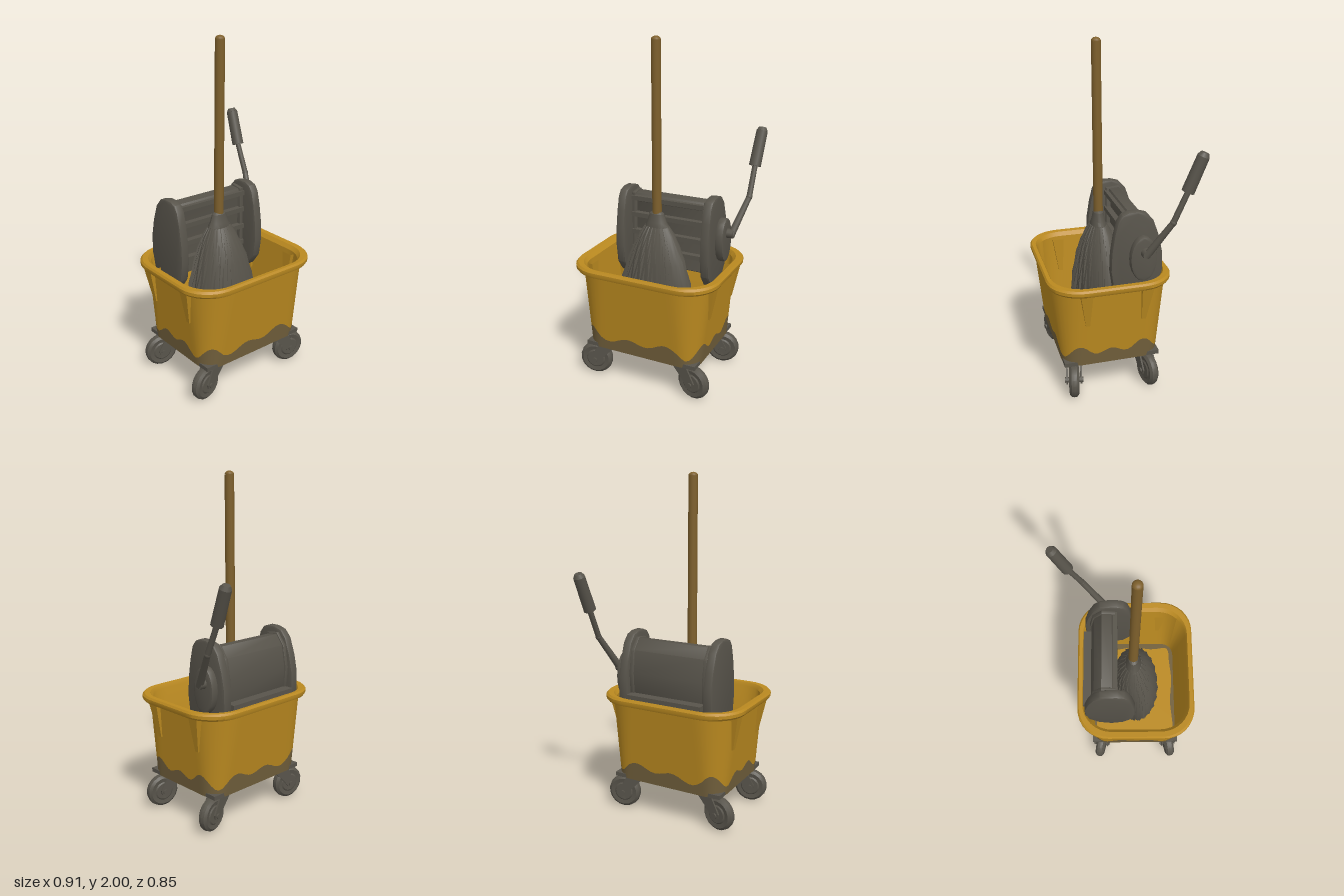
import * as THREE from 'three';
import { toCreasedNormals } from 'three/addons/utils/BufferGeometryUtils.js';

const mat = (name, color, side = THREE.FrontSide) => {
  const m = new THREE.MeshStandardMaterial({ color, side });
  m.name = name;
  return m;
};

// Centre of the bucket in plan
const CX = -0.015, CZ = 0.071;

// Skin a list of equal-length closed rings (rising rings face outward)
function loft(rings, crease = 0.6) {
  const n = rings[0].length, pos = [], idx = [];
  rings.forEach(r => r.forEach(p => pos.push(...p)));
  for (let j = 0; j < rings.length - 1; j++) {
    for (let i = 0; i < n; i++) {
      const a = j * n + i, b = j * n + (i + 1) % n;
      idx.push(a, a + n, b, b, a + n, b + n);
    }
  }
  const g = new THREE.BufferGeometry();
  g.setAttribute('position', new THREE.Float32BufferAttribute(pos, 3));
  g.setIndex(idx);
  g.computeVertexNormals();
  return toCreasedNormals(g, crease);
}

// Rounded rectangle ring with finely divided sides; y may vary round the ring
function rectRing(hx, hz, r, y) {
  const pts = [], corner = 8, side = 16;
  const centres = [[1, 1], [-1, 1], [-1, -1], [1, -1]];
  const arc = (q, k) => {
    const a = (q + k / corner) * Math.PI / 2;
    return [CX + centres[q][0] * (hx - r) + r * Math.cos(a), CZ + centres[q][1] * (hz - r) + r * Math.sin(a)];
  };
  for (let q = 0; q < 4; q++) {
    for (let k = 0; k <= corner; k++) pts.push(arc(q, k));
    const a = arc(q, corner), b = arc((q + 1) % 4, 0);
    for (let k = 1; k < side; k++) pts.push([a[0] + (b[0] - a[0]) * k / side, a[1] + (b[1] - a[1]) * k / side]);
  }
  return pts.map(([x, z], i) => [x, typeof y === 'function' ? y(i / pts.length) : y, z]);
}

// Extrude a [z, y] outline along x
function extrudeX(points, x0, depth, bevel = 0.012) {
  const shape = new THREE.Shape(points.map(([z, y]) => new THREE.Vector2(-z, y)));
  const g = new THREE.ExtrudeGeometry(shape, {
    depth: depth - 2 * bevel, bevelEnabled: bevel > 0, bevelThickness: bevel, bevelSize: bevel,
    bevelOffset: -bevel, bevelSegments: 2, curveSegments: 8,
  });
  g.rotateY(Math.PI / 2).translate(x0 + bevel, 0, 0);
  return toCreasedNormals(g, 0.6);
}

// Tapered round rod between two points
function rod(a, b, ra, rb, sides = 12) {
  const A = new THREE.Vector3(...a), B = new THREE.Vector3(...b), d = B.clone().sub(A);
  const g = new THREE.CylinderGeometry(rb, ra, d.length(), sides);
  g.applyQuaternion(new THREE.Quaternion().setFromUnitVectors(new THREE.Vector3(0, 1, 0), d.clone().normalize()));
  return g.translate(...A.add(B).multiplyScalar(0.5).toArray());
}

export function createModel() {
  const model = new THREE.Group();
  const yellow = mat('bucket yellow', 0xbb8a20);
  const grey = mat('dark grey plastic', 0x58544b);
  const dirt = mat('grime brown', 0x72603c);
  const wood = mat('handle wood', 0x7e602c);
  const add = (name, geo, material, parent = model) => {
    const m = new THREE.Mesh(geo, material);
    m.name = name;
    parent.add(m);
    return m;
  };

  // Bucket wall section at a height: half sizes and corner radius
  const wall = y => {
    const t = (typeof y === 'number' ? y - 0.21 : 0) / 0.48;
    return [0.352 + 0.043 * t, 0.284 + 0.056 * t, 0.1 + 0.08 * t];
  };
  const wave = u => {
    const a = u * Math.PI * 2;
    return 0.298 + 0.026 * Math.sin(a * 11 + 0.8) + 0.018 * Math.sin(a * 7 + 2);
  };
  const at = y => rectRing(...wall(y), y);
  // Ring that follows the wavy grime line on the sloping wall
  const low = at(0.21), high = at(0.69);
  const waveRing = low.map((p, i) => {
    const y = wave(i / low.length), t = (y - 0.21) / 0.48;
    return [p[0] + (high[i][0] - p[0]) * t, y, p[2] + (high[i][2] - p[2]) * t];
  });
  const flat = (p, y) => p.map(() => [CX, y, CZ]);

  // Bucket shell: outer wall, rolled rim, inner wall
  add('bucketShell', loft([
    waveRing, high,
    rectRing(0.436, 0.352, 0.19, 0.688), rectRing(0.444, 0.357, 0.19, 0.7),
    rectRing(0.444, 0.357, 0.19, 0.718), rectRing(0.436, 0.349, 0.19, 0.729),
    rectRing(0.405, 0.328, 0.18, 0.727), rectRing(0.385, 0.318, 0.17, 0.705),
    rectRing(0.34, 0.268, 0.08, 0.24),
  ]), yellow);
  add('grimeBand', loft([low, waveRing]), dirt);
  add('bucketUnderside', loft([flat(low, 0.21), low]), yellow);

  // Bucket floor with a wavy grime border
  const floorEdge = rectRing(0.34, 0.268, 0.08, 0.24);
  const floorWave = rectRing(0.308, 0.248, 0.06, 0.24).map(([x, y, z], i, l) => {
    const s = 1 + 0.025 * Math.sin(i / l.length * Math.PI * 18);
    return [CX + (x - CX) * s, y, CZ + (z - CZ) * s];
  });
  add('floorGrime', loft([floorEdge, floorWave]), dirt);
  add('bucketFloor', loft([floorWave, flat(low, 0.24)]), yellow);

  // Tapered ribs under the rim on both ends
  for (const s of [-1, 1]) {
    for (const z of [0.235, -0.115]) {
      const lean = z > CZ ? -0.012 : 0.012;
      const top = [[-0.04, 0.035], [0.035, 0.035], [0.035, -0.035], [-0.04, -0.035]]
        .map(([x, w]) => [CX + s * (0.39 + x), 0.695, z + s * w]);
      const foot = [[-0.03, 0.012], [0.006, 0.012], [0.006, -0.012], [-0.03, -0.012]]
        .map(([x, w]) => [CX + s * (0.378 + x), 0.48, z + lean + s * w]);
      add('rib', loft([foot, top].map(r => r.slice().reverse()), 0.3), yellow);
    }
  }

  // Casters, each trailing outward from its pivot
  const wheelProfile = [[0, -0.03], [0.05, -0.03], [0.058, -0.024], [0.082, -0.028], [0.097, -0.016],
    [0.1, 0], [0.097, 0.016], [0.082, 0.028], [0.058, 0.024], [0.05, 0.03], [0, 0.03]]
    .map(p => new THREE.Vector2(...p));
  const wheelGeo = toCreasedNormals(new THREE.LatheGeometry(wheelProfile, 18).rotateX(Math.PI / 2), 0.5);
  const forkShape = new THREE.Shape([[-0.045, 0.2], [0.06, 0.2], [0.11, 0.11], [0.105, 0.085], [0.085, 0.075],
    [0.062, 0.085], [0.02, 0.135]].map(p => new THREE.Vector2(...p)));
  const forkGeo = new THREE.ExtrudeGeometry(forkShape, { depth: 0.01, bevelEnabled: false });
  for (const sx of [-1, 1]) {
    for (const sz of [-1, 1]) {
      const c = new THREE.Group();
      c.name = 'caster';
      c.position.set(CX + sx * 0.24, 0, CZ + sz * 0.208);
      c.rotation.y = Math.atan2(-sz * 0.2, sx);
      add('wheel', wheelGeo, grey, c).position.set(0.083, 0.1, 0);
      add('axle', new THREE.CylinderGeometry(0.016, 0.016, 0.108, 8).rotateX(Math.PI / 2), grey, c).position.set(0.083, 0.1, 0);
      for (const z of [-0.046, 0.036]) add('forkSide', forkGeo, grey, c).position.z = z;
      add('forkCrown', new THREE.BoxGeometry(0.105, 0.012, 0.092), grey, c).position.set(0.008, 0.2, 0);
      add('swivel', new THREE.CylinderGeometry(0.035, 0.035, 0.025, 12), grey, c).position.y = 0.212;
      model.add(c);
      add('casterPlate', new THREE.BoxGeometry(0.15, 0.024, 0.12), grey)
        .position.set(CX + sx * 0.275, 0.222, CZ + sz * 0.222);
    }
  }

  // Wringer side plates
  const plate = [[-0.09, 1.1], [-0.04, 1.1], [0, 1.085], [0.025, 1.05], [0.045, 0.97], [0.062, 0.86], [0.066, 0.75],
    [0.05, 0.64], [0, 0.57], [-0.08, 0.54], [-0.16, 0.57], [-0.215, 0.64], [-0.238, 0.73], [-0.236, 0.84],
    [-0.215, 0.94], [-0.18, 1.04], [-0.14, 1.085]].reverse();
  add('wringerPlateRight', extrudeX(plate, -0.32, 0.055), grey);
  add('wringerPlateLeft', extrudeX(plate, 0.228, 0.056), grey);

  // Wringer housing with a faceted back
  add('wringerHousing', extrudeX([[-0.055, 1.03], [-0.07, 1.055], [-0.13, 1.06], [-0.175, 1.0], [-0.197, 0.87],
    [-0.19, 0.74], [-0.15, 0.64], [-0.09, 0.6], [-0.075, 0.61], [-0.075, 1.0]].reverse(), -0.27, 0.505, 0.004), grey);
  // Front rollers and slats
  for (const y of [1.03, 0.925, 0.815, 0.71]) {
    add('wringerSlat', new THREE.BoxGeometry(0.5, 0.028, 0.045), grey).position.set(-0.018, y, -0.062);
  }
  for (const x of [-0.256, 0.216]) {
    add('wringerCollar', extrudeX([[-0.05, 1.06], [-0.13, 1.07], [-0.185, 1.0], [-0.207, 0.87],
      [-0.198, 0.73], [-0.15, 0.62], [-0.05, 0.6]].reverse(), x - 0.012, 0.024, 0.004), grey);
  }
  add('wringerHook', new THREE.BoxGeometry(0.48, 0.03, 0.07), grey).position.set(-0.018, 0.735, -0.215);

  // Lever hub, arm and grip
  const hub = [];
  for (let i = 0; i < 20; i++) {
    const a = i / 20 * Math.PI * 2;
    hub.push([-0.113 + 0.078 * Math.cos(a), 0.83 + 0.135 * Math.sin(a)]);
  }
  add('leverHub', extrudeX(hub, 0.28, 0.05), grey);
  add('leverBoss', rod([0.32, 0.872, -0.12], [0.368, 0.872, -0.12], 0.03, 0.026), grey);
  const arm = [[0.352, 0.862, -0.115], [0.41, 1.07, -0.245], [0.412, 1.25, -0.325]];
  add('leverLowerArm', rod(arm[0], arm[1], 0.022, 0.017), grey);
  add('leverElbow', new THREE.SphereGeometry(0.019, 12, 8).translate(...arm[1]), grey);
  add('leverUpperArm', rod(arm[1], arm[2], 0.017, 0.016), grey);
  add('leverGrip', rod([0.411, 1.24, -0.32], [0.422, 1.435, -0.395], 0.036, 0.034), grey);
  add('leverGripEnd', rod([0.422, 1.435, -0.395], [0.423, 1.455, -0.403], 0.034, 0.022), grey);

  // Mop head: twisted strands flaring from the collar
  const mx = -0.045, mz = 0.055;
  const section = (y, rx, rz, ridge, cz) => Array.from({ length: 132 }, (_, i) => {
    const a = i / 132 * Math.PI * 2;
    const tooth = (i / 6 + (1 - y) * 2.5) % 1;
    const s = 1 - ridge * tooth;
    return [mx + rx * s * Math.cos(a), y - ridge * 0.15 * tooth, cz + rz * s * Math.sin(a)];
  });
  add('mopStrands', loft([
    section(0.3, 0.001, 0.001, 0, 0.08), section(0.3, 0.2, 0.13, 0.1, 0.08), section(0.45, 0.238, 0.145, 0.1, 0.078),
    section(0.58, 0.222, 0.137, 0.1, 0.075), section(0.72, 0.178, 0.122, 0.08, 0.067), section(0.8, 0.142, 0.104, 0.06, 0.06),
    section(0.87, 0.11, 0.08, 0.05, 0.056), section(0.92, 0.075, 0.05, 0.03, mz), section(0.93, 0.001, 0.001, 0, mz),
  ], 0.5), grey);
  const collar = [[0, 0.89], [0.072, 0.89], [0.074, 0.92], [0.06, 0.945], [0.045, 0.995], [0.03, 1.005], [0, 1.005]]
    .map(p => new THREE.Vector2(...p));
  add('mopCollar', toCreasedNormals(new THREE.LatheGeometry(collar, 16).scale(1, 1, 0.65), 0.5), grey).position.set(mx, 0, mz);

  // Mop handle with a rounded tip
  add('mopHandle', rod([mx, 0.95, 0.054], [mx + 0.002, 1.98, 0.062], 0.028, 0.027, 14), wood);
  add('mopHandleTip', new THREE.SphereGeometry(0.027, 14, 8, 0, Math.PI * 2, 0, Math.PI / 2).scale(1, 0.75, 1), wood)
    .position.set(mx + 0.002, 1.98, 0.062);

  return model;
}
